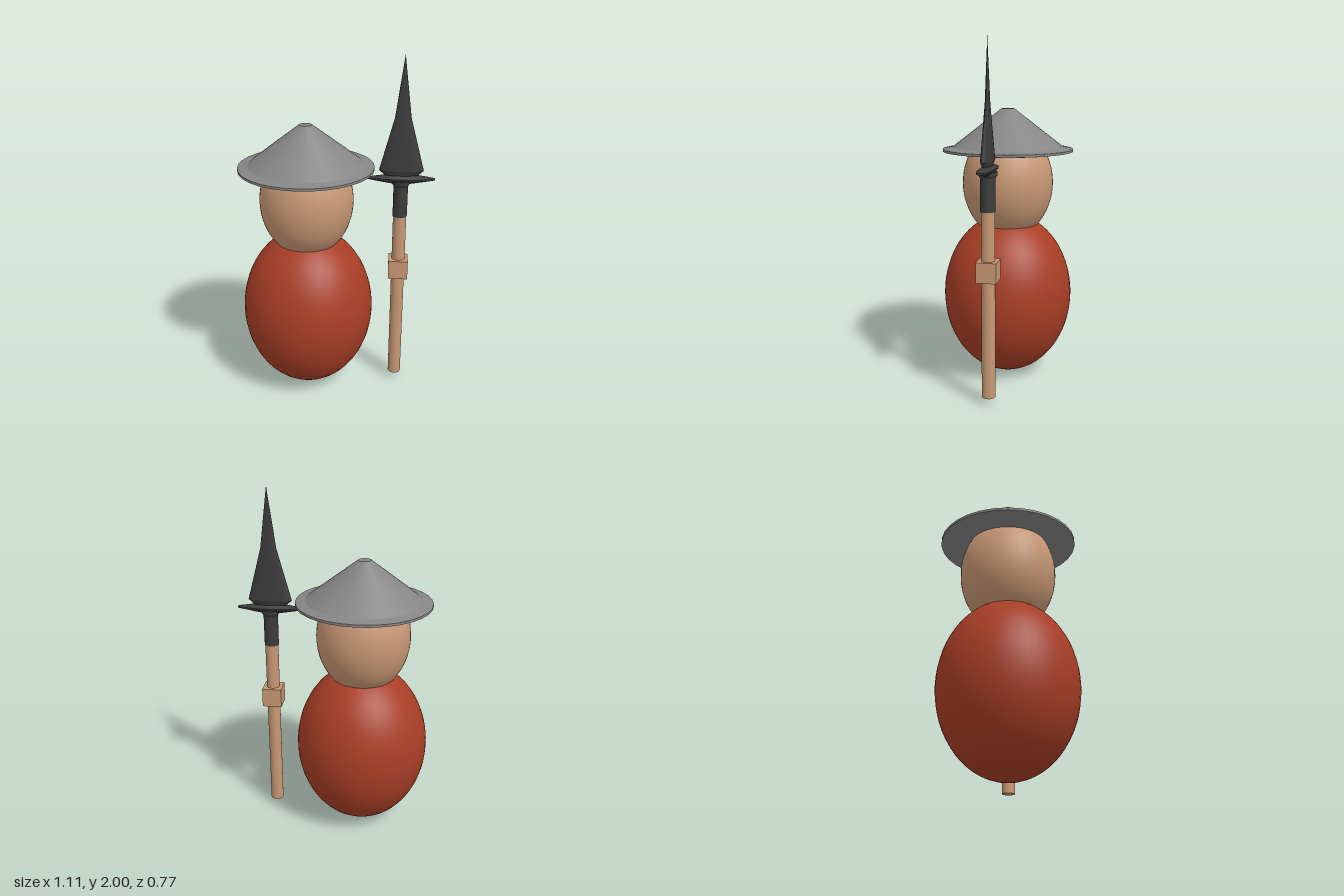
import * as THREE from 'three';

const mat = (name, color) => {
  const m = new THREE.MeshStandardMaterial({ color });
  m.name = name;
  return m;
};

export function createModel() {
  const group = new THREE.Group();
  const red = mat('red robe', 0xa83e25);
  const tan = mat('tan skin and wood', 0xc89874);
  const grey = mat('grey straw', 0x868686);
  const iron = mat('dark iron', 0x3c3c3c);

  const add = (name, geometry, material, x, y, scale = [1, 1, 1]) => {
    const mesh = new THREE.Mesh(geometry, material);
    mesh.name = name;
    mesh.position.set(x, y, 0);
    mesh.scale.set(...scale);
    group.add(mesh);
  };

  // Lathe from [radius, y] points going upwards; each band is creased from the next
  const addTurned = (name, points, material, x, depth = 1) => {
    for (let i = 0; i < points.length - 1; i++) {
      const band = [points[i], points[i + 1]].map(([r, y]) => new THREE.Vector2(r, y));
      add(name, new THREE.LatheGeometry(band, 32), material, x, 0, [1, 1, depth]);
    }
  };

  // Egg-shaped figure
  const bodyX = -0.173;
  add('body', new THREE.SphereGeometry(1, 48, 32), red, bodyX, 0.49, [0.387, 0.49, 0.387]);
  add('head', new THREE.SphereGeometry(1, 48, 32), tan, bodyX, 1.17, [0.27, 0.335, 0.27]);

  // Conical hat with a thin brim
  addTurned('hat', [[0, 1.357], [0.36, 1.357], [0.387, 1.361], [0.387, 1.375],
    [0.33, 1.386], [0.037, 1.612], [0, 1.612]], grey, bodyX);

  // Spear shaft, grip block and socket
  const spearX = 0.363;
  add('shaft', new THREE.CylinderGeometry(0.038, 0.038, 1.05, 24), tan, spearX, 0.565);
  add('gripBlock', new THREE.BoxGeometry(0.113, 0.113, 0.113), tan, spearX, 0.765);
  add('socket', new THREE.CylinderGeometry(0.041, 0.041, 0.2, 24), iron, spearX, 1.19);
  addTurned('socketRing', [[0.041, 1.27], [0.05, 1.285], [0.05, 1.305], [0, 1.32]], iron, spearX);

  // Flattened guard and blade
  addTurned('guard', [[0, 1.283], [0.06, 1.285], [0.19, 1.309], [0.19, 1.318],
    [0.09, 1.335], [0, 1.335]], iron, spearX, 0.22);
  addTurned('blade', [[0.09, 1.33], [0.125, 1.362], [0.045, 1.66], [0, 2]], iron, spearX, 0.23);

  return group;
}
